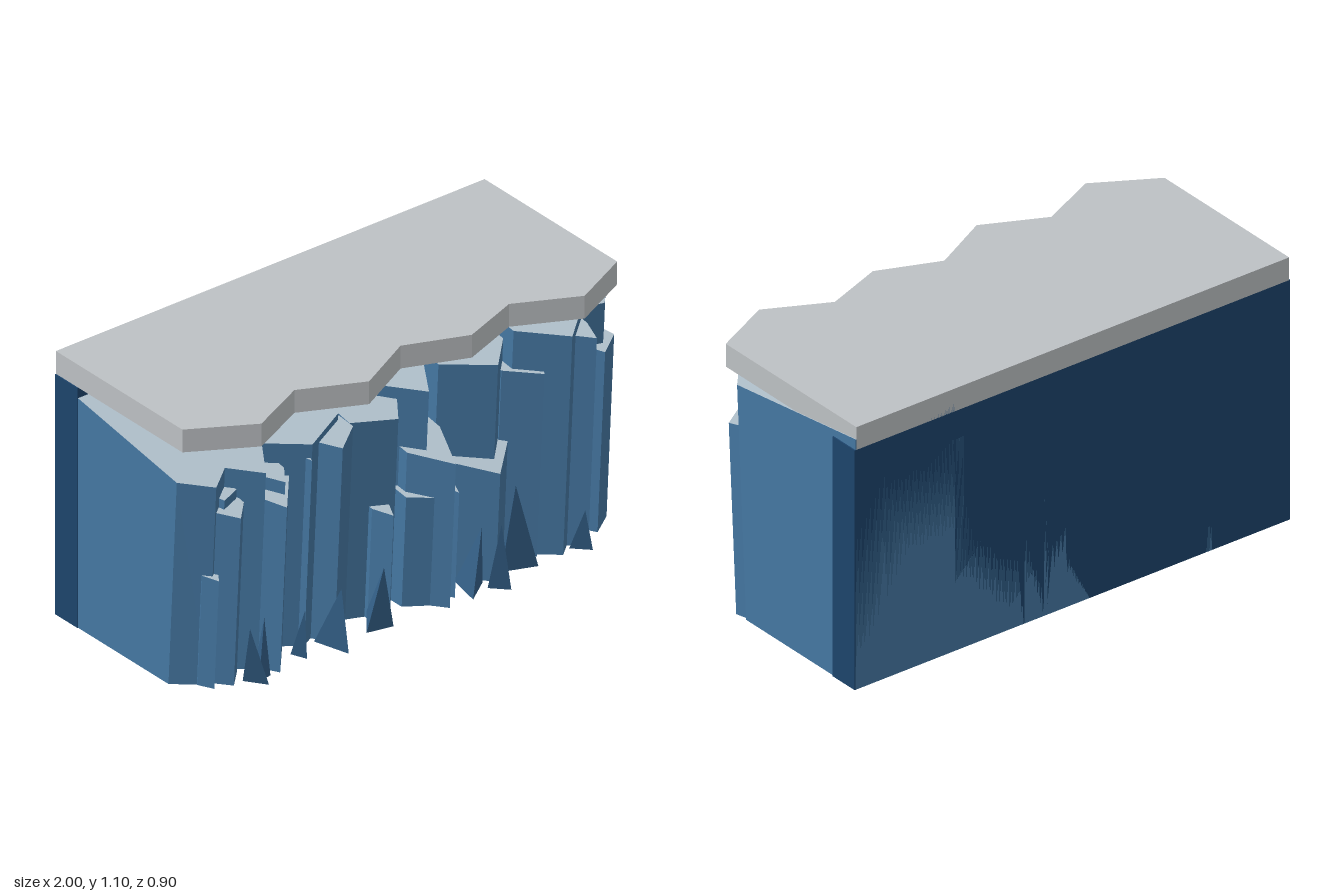
import * as THREE from 'three';

const BACK = -0.45;   // rear plane shared by wall, columns and cap
const LEAN = 0.057;   // column fronts overhang as they rise

const mat = (color, side = THREE.FrontSide) =>
  new THREE.MeshStandardMaterial({ color, side, flatShading: true, roughness: 0.9 });

// Vertical prism of unit height from a front outline [x, z], closed at the back
function prism(front) {
  const first = front[0], last = front[front.length - 1];
  const outline = [[first[0], BACK], ...front, [last[0], BACK]];
  const shape = new THREE.Shape(outline.map(([x, z]) => new THREE.Vector2(x, -z)));
  const geo = new THREE.ExtrudeGeometry(shape, { depth: 1, bevelEnabled: false });
  geo.rotateX(-Math.PI / 2);
  return geo;
}

// Leaning column, open underneath: h is the height at its foremost corner,
// slope the rise of its top toward the back
function column(h, front, slope = 0.126, lean = LEAN) {
  const geo = prism(front);
  const zMax = Math.max(...front.map((p) => p[1]));
  const pos = geo.attributes.position;
  for (let i = 0; i < pos.count; i += 3) {
    const isFloor = [0, 1, 2].every((k) => pos.getY(i + k) < 0.5);
    for (let k = i; k < i + 3; k++) {
      const z = pos.getZ(k);
      if (isFloor) pos.setXYZ(k, front[0][0], 0, BACK); // collapse the floor away
      else if (pos.getY(k) > 0.5) pos.setY(k, h + slope * (zMax - z));
      else if (z > BACK + 0.01) pos.setZ(k, z - lean * h);
    }
  }
  geo.computeVertexNormals();
  return geo;
}

export function createModel() {
  const model = new THREE.Group();
  const rock = mat(0x4577a2, THREE.DoubleSide), topRock = mat(0xb0c0cb, THREE.DoubleSide);
  const darkRock = mat(0x1c446c, THREE.DoubleSide);
  const spikeRock = mat(0x335f87), grey = mat(0xbdc1c4);
  const add = (name, geo, material, parent = model) => {
    const mesh = new THREE.Mesh(geo, material);
    mesh.name = name;
    parent.add(mesh);
  };
  const addColumns = (name, list) => {
    const group = new THREE.Group();
    group.name = `${name}s`;
    model.add(group);
    list.forEach(([h, front, slope], i) =>
      add(`${name}${i + 1}`, column(h, front, slope), [topRock, rock], group));
  };

  // Flat slab with a zigzag front edge
  const cap = prism([[-0.995, 0.28], [-0.745, 0.425], [-0.5, 0.31], [-0.25, 0.43], [0, 0.3],
    [0.25, 0.4], [0.495, 0.31], [0.745, 0.435], [0.992, 0.315]]);
  cap.scale(1, 0.095, 1).translate(0, 1, 0);
  add('capSlab', cap, grey);

  // Upright rear wall, open underneath
  add('backWall', column(1, [[-1, -0.32], [1, -0.32]], 0, 0), darkRock);

  // Main columns: [height, front outline, top slope]
  addColumns('mainColumn', [
    [0.84, [[-0.997, 0.25], [-0.89, 0.345], [-0.79, 0.27], [-0.68, 0.37], [-0.58, 0.22]], 0.17],
    [0.86, [[-0.65, 0.2], [-0.44, 0.34], [-0.24, 0.24]], 0.135],
    [0.83, [[-0.43, 0.25], [-0.34, 0.39], [-0.22, 0.3]], 0.1],
    [0.83, [[-0.22, 0.28], [-0.05, 0.35], [0.06, 0.2]], 0.175],
    [0.885, [[-0.06, 0.18], [0.1, 0.34], [0.22, 0.15]]],
    [0.88, [[0.24, 0.22], [0.42, 0.34], [0.56, 0.2]]],
    [0.935, [[0.54, 0.28], [0.7, 0.42], [0.84, 0.3], [0.93, 0.32], [0.995, 0.245]]],
  ]);

  // Lower and narrower columns stepping forward
  addColumns('stepColumn', [
    [0.715, [[-0.9, 0.3], [-0.82, 0.4], [-0.75, 0.33]], 0.16],
    [0.705, [[-0.71, 0.28], [-0.63, 0.43], [-0.5, 0.28]], 0.18],
    [0.765, [[-0.87, 0.25], [-0.84, 0.33], [-0.76, 0.3]], 0.16],
    [0.77, [[-0.64, 0.3], [-0.59, 0.37], [-0.54, 0.3]], 0.16],
    [0.615, [[0.03, 0.3], [0.14, 0.445], [0.23, 0.24]], 0.16],
    [0.46, [[0.23, 0.22], [0.39, 0.39], [0.53, 0.26]], 0.25],
    [0.78, [[0.5, 0.26], [0.62, 0.36], [0.66, 0.28]]],
    [0.89, [[0.72, 0.34], [0.81, 0.425], [0.84, 0.33]]],
    [0.77, [[0.86, 0.29], [0.9, 0.36], [0.998, 0.29], [0.985, 0.24]]],
    [0.46, [[-0.92, 0.3], [-0.89, 0.36], [-0.86, 0.32]]],
    [0.46, [[-0.14, 0.31], [-0.1, 0.385], [-0.07, 0.32]]],
    [0.46, [[0.01, 0.32], [0.1, 0.38], [0.13, 0.31]]],
    [0.45, [[0.17, 0.32], [0.2, 0.39], [0.24, 0.28]]],
    [0.8, [[-0.47, 0.29], [-0.45, 0.35], [-0.43, 0.29]]],
  ]);

  // Pointed shards along the foot: [x, z, tip x, height, radius, turn]
  const shards = new THREE.Group();
  shards.name = 'footShards';
  model.add(shards);
  [
    [-0.74, 0.385, -0.79, 0.25, 0.055, 0.4], [-0.71, 0.38, -0.72, 0.27, 0.035, 1.2],
    [-0.5, 0.34, -0.5, 0.2, 0.035, 0.2], [-0.36, 0.365, -0.35, 0.25, 0.075, 2.2],
    [-0.16, 0.355, -0.145, 0.26, 0.065, 0.9], [0.27, 0.365, 0.3, 0.27, 0.06, 1.6],
    [0.37, 0.405, 0.36, 0.28, 0.05, 0.5], [0.51, 0.325, 0.49, 0.36, 0.085, 0.8],
    [0.78, 0.365, 0.78, 0.17, 0.05, 2.6],
  ].forEach(([x, z, tipX, h, r, turn], i) => {
    const geo = new THREE.ConeGeometry(r, h, 3).rotateY(turn).translate(x, h / 2, z);
    const pos = geo.attributes.position;
    for (let k = 0; k < pos.count; k++) {
      const t = pos.getY(k) / h;
      // lean toward the tip, with the base lifted where it faces the rock
      pos.setY(k, pos.getY(k) + 0.3 * Math.max(0, z + r - pos.getZ(k)) * (1 - t));
      pos.setX(k, pos.getX(k) + (tipX - x) * t);
      pos.setZ(k, pos.getZ(k) + 0.03 * t);
    }
    geo.computeVertexNormals();
    add(`footShard${i + 1}`, geo, spikeRock, shards);
  });

  return model;
}
